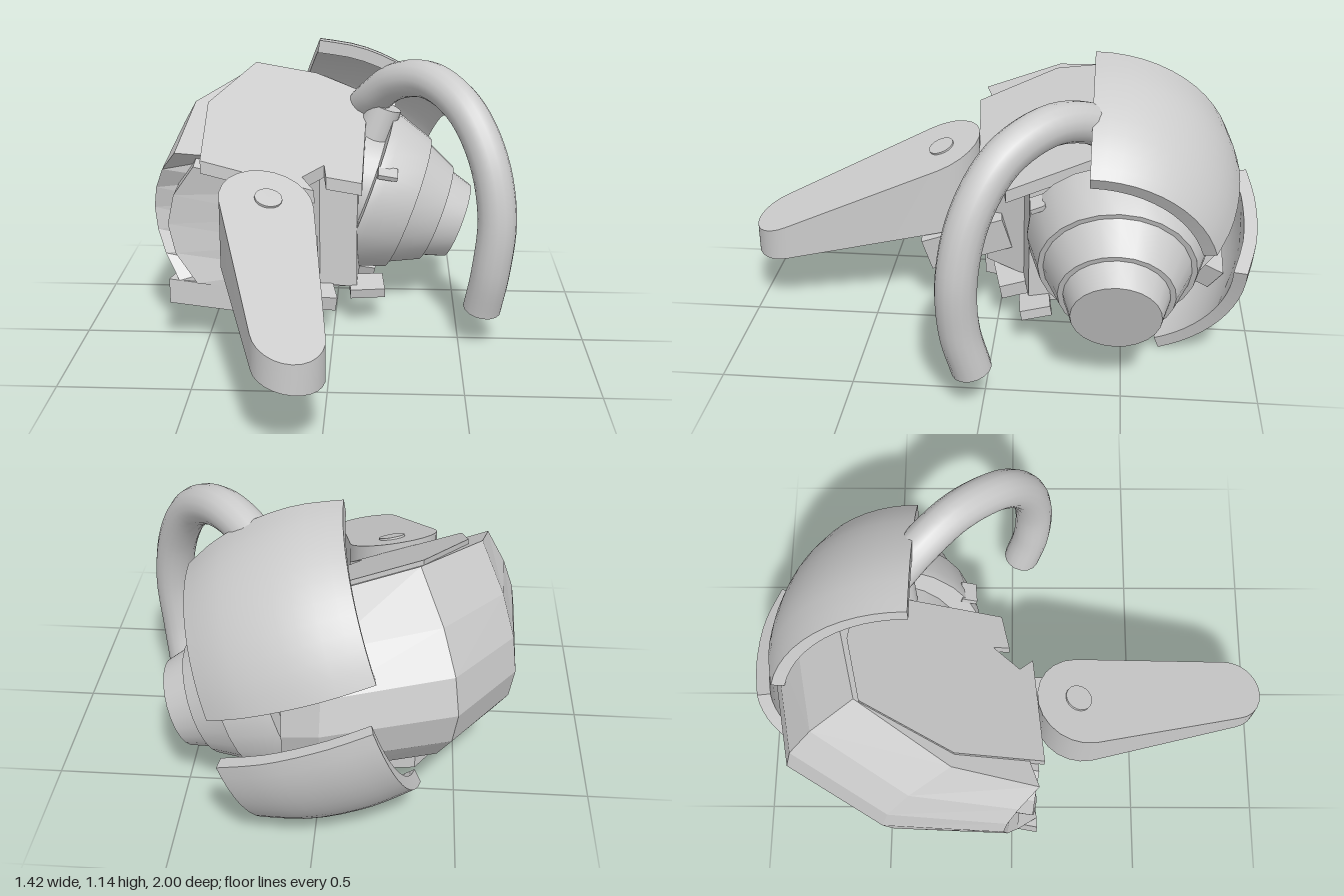
import * as THREE from 'three';
import { toCreasedNormals } from 'three/addons/utils/BufferGeometryUtils.js';

const grey = new THREE.MeshStandardMaterial({ color: 0xcccccc });
const HUB = [0.51, 0.345, -0.47]; // centre of the axle's outer end
const TILT = -0.35;

// y of a sloping plane through a point, as a function of x and z
const plane = (x0, y0, z0, sx, sz) => (x, z) => y0 + sx * (x - x0) + sz * (z - z0);

// Solid between two height functions. Corners are [x, z] or [x, z, bulgeX, bulgeZ].
function prism(corners, low, high, steps = 1) {
  const flip = THREE.ShapeUtils.isClockWise(corners.map(c => new THREE.Vector2(c[0], -c[1])));
  const pts = flip ? corners.slice().reverse() : corners;
  const n = pts.length, rings = [], out = [];
  for (let s = 0; s <= steps; s++) {
    const t = s / steps;
    const k = s === 0 || s === steps ? 0 : Math.pow(Math.sin(Math.PI * t), 0.8);
    rings.push(pts.map(([x, z, mx = x, mz = z]) => [
      x + (mx - x) * k, low(x, z) * (1 - t) + high(x, z) * t, z + (mz - z) * k]));
  }
  for (let s = 0; s < steps; s++) {
    const a = rings[s], b = rings[s + 1];
    for (let i = 0; i < n; i++) {
      const j = (i + 1) % n;
      out.push(...a[i], ...a[j], ...b[j], ...a[i], ...b[j], ...b[i]);
    }
  }
  const flat = pts.map(c => new THREE.Vector2(c[0], -c[1]));
  for (const [i, j, k] of THREE.ShapeUtils.triangulateShape(flat, [])) {
    out.push(...rings[steps][i], ...rings[steps][j], ...rings[steps][k]);
    out.push(...rings[0][k], ...rings[0][j], ...rings[0][i]);
  }
  const g = new THREE.BufferGeometry();
  g.setAttribute('position', new THREE.Float32BufferAttribute(out, 3));
  g.computeVertexNormals();
  return g;
}

// Curved armour panel: a profile (along axle, radius) swept between two angles (degrees, 0 = up, 90 = back)
function guardGeometry(profile, from, to) {
  const outer = new THREE.SplineCurve(profile.map(p => new THREE.Vector2(...p))).getPoints(10);
  const inner = outer.map(p => new THREE.Vector2(p.x * 0.97 - 0.015, p.y - 0.05)).reverse();
  const g = new THREE.ExtrudeGeometry(new THREE.Shape([...outer, ...inner]),
    { depth: 1, steps: 12, bevelEnabled: false });
  const p = g.attributes.position;
  for (let i = 0; i < p.count; i++) {
    const a = THREE.MathUtils.degToRad(to + (from - to) * p.getZ(i));
    p.setXYZ(i, p.getX(i), p.getY(i) * Math.cos(a), -p.getY(i) * Math.sin(a));
  }
  return toCreasedNormals(g, 0.6);
}

export function createModel() {
  const model = new THREE.Group();
  model.name = 'model';
  const add = (name, geometry, pos = [0, 0, 0], rot = [0, 0, 0], parent = model) => {
    const m = new THREE.Mesh(geometry, grey);
    m.name = name;
    m.position.set(...pos);
    m.rotation.set(...rot);
    parent.add(m);
    return m;
  };
  const box = (name, size, pos, rot, parent) => add(name, new THREE.BoxGeometry(...size), pos, rot, parent);

  // Housing: sloping top plate, core wall, bottom plate
  const top = plane(-0.3, 1.0, -0.53, -0.336, -0.457);
  const under = (x, z) => top(x, z) - 0.05;
  const bottom = plane(-0.64, 0.18, 0.1, -0.15, 0.02);
  const overBottom = (x, z) => bottom(x, z) + 0.1;
  add('topPlate', prism([[-0.5, 0.12], [-0.07, 0.08], [-0.12, 0.03], [-0.04, -0.07], [-0.03, -0.01], [0.11, -0.04],
    [0.12, -0.57], [-0.1, -0.59], [-0.35, -0.53], [-0.51, -0.2]], under, top));
  add('housingCore', prism([[-0.53, 0.1, -0.64, 0.08], [-0.15, 0.06], [-0.06, -0.1], [0.09, -0.13], [0.1, -0.57],
    [-0.1, -0.58], [-0.35, -0.52], [-0.5, -0.2, -0.6, -0.25]], overBottom, under, 4));
  add('bottomPlate', prism([[-0.64, 0.1], [-0.2, 0.07], [-0.17, -0.05], [-0.1, -0.16], [-0.1, -0.5],
    [-0.35, -0.52], [-0.58, -0.22]], bottom, overBottom));

  // Barrel-shaped outer shell wrapped round the back and the right flank
  add('outerShell', prism([[-0.6, 0.1, -0.71, -0.03], [-0.56, -0.21, -0.69, -0.48], [-0.34, -0.55, -0.48, -0.84],
    [-0.06, -0.62, -0.03, -0.93], [0.1, -0.6, 0.1, -0.88], [0.06, -0.3], [-0.4, 0.03]],
    (x, z) => bottom(x, z) + 0.01 + 0.28 * Math.abs(z + 0.22), (x, z) => top(x, z) - 0.02, 6));

  // Axle assembly, tilted as a unit
  const axle = new THREE.Group();
  axle.name = 'axleAssembly';
  axle.position.set(...HUB);
  axle.rotation.z = TILT;
  model.add(axle);
  const profile = [[0, -0.65], [0.26, -0.65], [0.26, -0.42], [0.345, -0.42], [0.345, -0.38], [0.295, -0.23],
    [0.275, -0.23], [0.27, -0.22], [0.215, -0.1], [0.195, -0.1], [0.165, 0], [0, 0]].map(p => new THREE.Vector2(...p));
  add('steppedHub', toCreasedNormals(new THREE.LatheGeometry(profile, 24), 0.45),
    [0, 0, 0], [0, 0, -Math.PI / 2], axle);
  add('upperGuard', guardGeometry([[-0.82, 0.55], [-0.66, 0.58], [-0.5, 0.575], [-0.34, 0.54], [-0.21, 0.48]], 0, 75),
    [0, 0, 0.11], [0, 0, 0], axle);
  add('lowerGuard', guardGeometry([[-0.77, 0.5], [-0.6, 0.525], [-0.4, 0.52], [-0.22, 0.475]], 88, 158),
    [0, 0, 0], [0, 0, 0], axle);
  // Struts holding the guards
  for (const deg of [40, 122]) {
    const a = THREE.MathUtils.degToRad(deg);
    box('guardStrut', [0.14, 0.2, 0.1], [-0.48, 0.36 * Math.cos(a), -0.36 * Math.sin(a)], [-a, 0, 0], axle);
  }

  // Hose with collar
  const path = new THREE.CatmullRomCurve3([[0.1, 0.82, -0.55], [0.15, 0.89, -0.46], [0.24, 0.98, -0.35],
    [0.37, 1.015, -0.21], [0.5, 0.94, -0.06], [0.59, 0.77, 0.04], [0.63, 0.55, 0.085], [0.615, 0.33, 0.08],
    [0.59, 0.155, 0.04]].map(p => new THREE.Vector3(...p)));
  add('hose', new THREE.TubeGeometry(path, 40, 0.075, 16));
  for (const [t, sign] of [[0, -1], [1, 1]]) {
    const cap = add('hoseEnd', new THREE.CircleGeometry(0.075, 16));
    const end = path.getPointAt(t);
    cap.position.copy(end);
    cap.lookAt(end.clone().addScaledVector(path.getTangentAt(t), sign));
  }
  add('hoseCollar', new THREE.CylinderGeometry(0.07, 0.08, 0.16, 16), [0.17, 0.78, -0.44], [0, 0, TILT]);

  // Tapering lever with rounded ends
  const outline = [];
  const arc = (cx, cz, r, a0, a1) => {
    for (let i = 0; i <= 12; i++) {
      const a = a0 + (a1 - a0) * i / 12;
      outline.push([cx + r * Math.cos(a), cz + r * Math.sin(a)]);
    }
  };
  arc(-0.11, 0.875, 0.125, -0.15, Math.PI - 0.25);
  arc(-0.235, 0.27, 0.175, Math.PI - 0.25, 2 * Math.PI - 0.15);
  const leverTop = plane(-0.23, 0.665, 0.25, -0.2, -0.37);
  const lever = prism(outline, plane(-0.2, 0.4, 0.15, -0.2, -0.15), leverTop);
  add('lever', toCreasedNormals(lever, 0.5));
  add('leverBolt', new THREE.CylinderGeometry(0.052, 0.052, 0.02, 20), [-0.23, 0.663, 0.25], [0.35, 0, -0.2]);

  // Bracket under the lever, small tabs and clips
  box('leverBracket', [0.14, 0.14, 0.34], [-0.13, 0.32, 0.14], [0.3, 0.08, -0.15]);
  box('lowerTab', [0.18, 0.06, 0.14], [-0.09, 0.16, -0.06], [0.2, 0.2, -0.15]);
  box('lowerTab', [0.14, 0.04, 0.12], [0.13, 0.16, -0.16], [0.2, 0.1, 0]);
  box('sideClip', [0.08, 0.02, 0.06], [0.21, 0.64, -0.17], [0.4, 0, -0.2]);
  return model;
}
